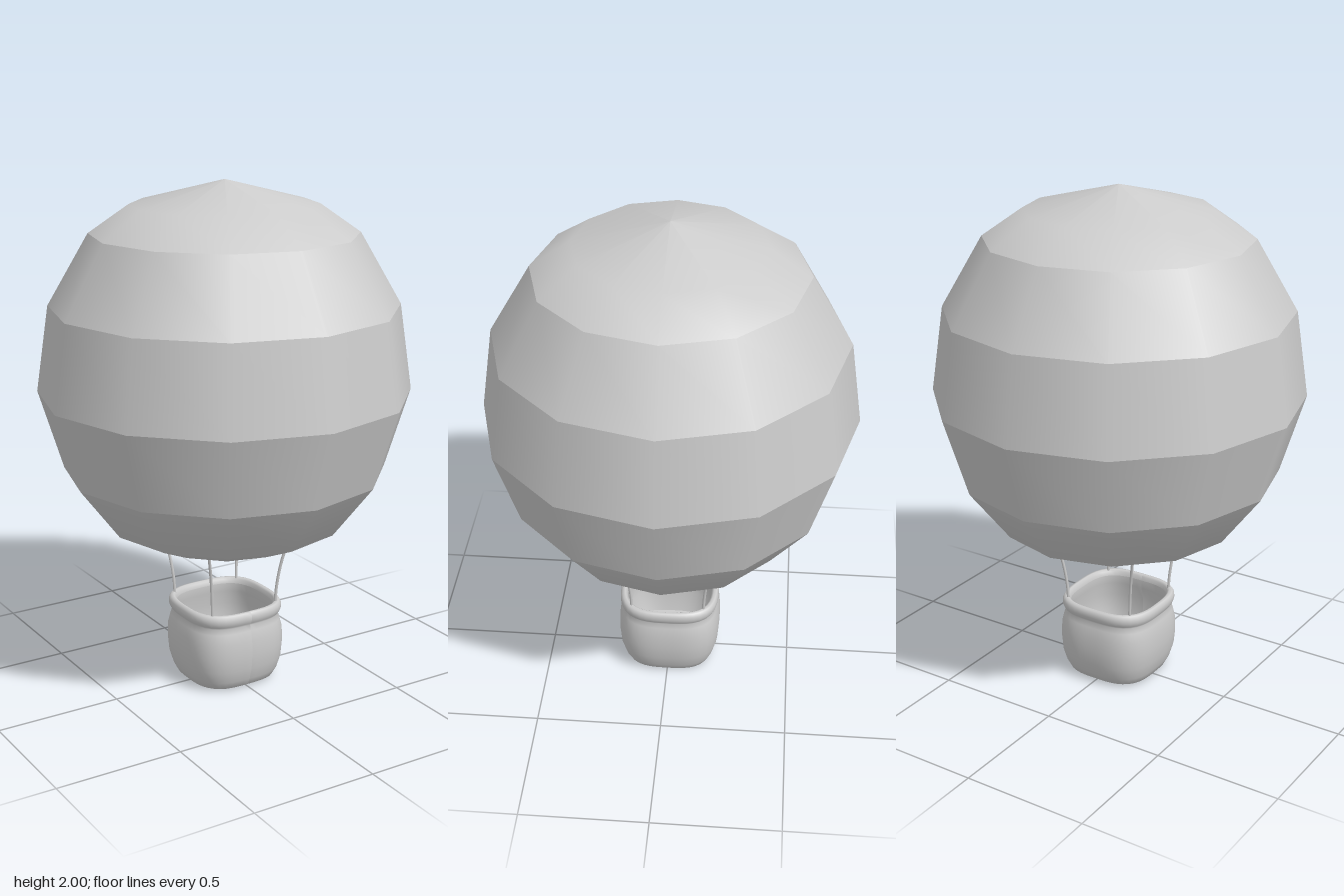
import * as THREE from 'three';

const material = new THREE.MeshStandardMaterial({ color: 0xcccccc });

// Each band is a run of [radius, height] points, smooth inside and creased against its neighbours
function addBands(parent, name, bands, sides, reshape) {
  const group = new THREE.Group();
  group.name = name;
  for (const [part, points] of Object.entries(bands)) {
    const profile = points.map(([r, y]) => new THREE.Vector2(r, y));
    const geometry = new THREE.LatheGeometry(profile, sides);
    if (reshape) reshape(geometry);
    const mesh = new THREE.Mesh(geometry, material);
    mesh.name = part;
    group.add(mesh);
  }
  parent.add(group);
}

// Turns round cross-sections into soft squares
function squareOff(geometry) {
  const n = 3.1;
  const p = geometry.attributes.position;
  for (let i = 0; i < p.count; i++) {
    const x = p.getX(i), z = p.getZ(i), r = Math.hypot(x, z);
    if (r < 1e-6) continue;
    const k = Math.pow(Math.abs(x / r) ** n + Math.abs(z / r) ** n, -1 / n);
    p.setX(i, x * k);
    p.setZ(i, z * k);
  }
  geometry.computeVertexNormals();
}

export function createModel() {
  const model = new THREE.Group();
  model.name = 'hotAirBalloon';

  // Twelve-sided envelope with a shallow recessed mouth
  addBands(model, 'envelope', {
    mouthCeiling: [[0, 0.65], [0.26, 0.65]],
    mouthWall: [[0.26, 0.65], [0.26, 0.595]],
    mouthRim: [[0.26, 0.595], [0.305, 0.595]],
    lowerBand: [[0.305, 0.595], [0.47, 0.67], [0.63, 0.88]],
    lowerMiddleBand: [[0.63, 0.88], [0.725, 1.19]],
    upperMiddleBand: [[0.725, 1.19], [0.675, 1.525]],
    upperBand: [[0.675, 1.525], [0.515, 1.8]],
    crown: [[0.515, 1.8], [0.36, 1.908], [0, 2]],
  }, 12);

  // Bulging open basket with a rolled rim
  addBands(model, 'basket', {
    basketBottom: [[0, 0], [0.158, 0]],
    basketWall: [
      [0.158, 0], [0.175, 0.01], [0.19, 0.04], [0.204, 0.09], [0.209, 0.15], [0.207, 0.21],
      [0.198, 0.25], [0.191, 0.272], [0.198, 0.282], [0.204, 0.298], [0.203, 0.315],
      [0.196, 0.327], [0.185, 0.329], [0.177, 0.322], [0.174, 0.305],
    ],
    basketInside: [[0.174, 0.305], [0.174, 0.27], [0.188, 0.21], [0.188, 0.12], [0.165, 0.03]],
    basketFloor: [[0.165, 0.03], [0, 0.03]],
  }, 48, squareOff);

  // Four bowed ropes from the basket corners to the mouth
  const rope = [[0.147, 0.3], [0.15, 0.38], [0.163, 0.49], [0.187, 0.605]];
  for (const [sx, side] of [[1, 'Left'], [-1, 'Right']]) {
    for (const [sz, end] of [[1, 'front'], [-1, 'back']]) {
      const path = new THREE.CatmullRomCurve3(
        rope.map(([d, y]) => new THREE.Vector3(d * sx, y, d * sz)));
      const mesh = new THREE.Mesh(new THREE.TubeGeometry(path, 12, 0.006, 8), material);
      mesh.name = `${end}${side}Rope`;
      model.add(mesh);
    }
  }
  return model;
}
